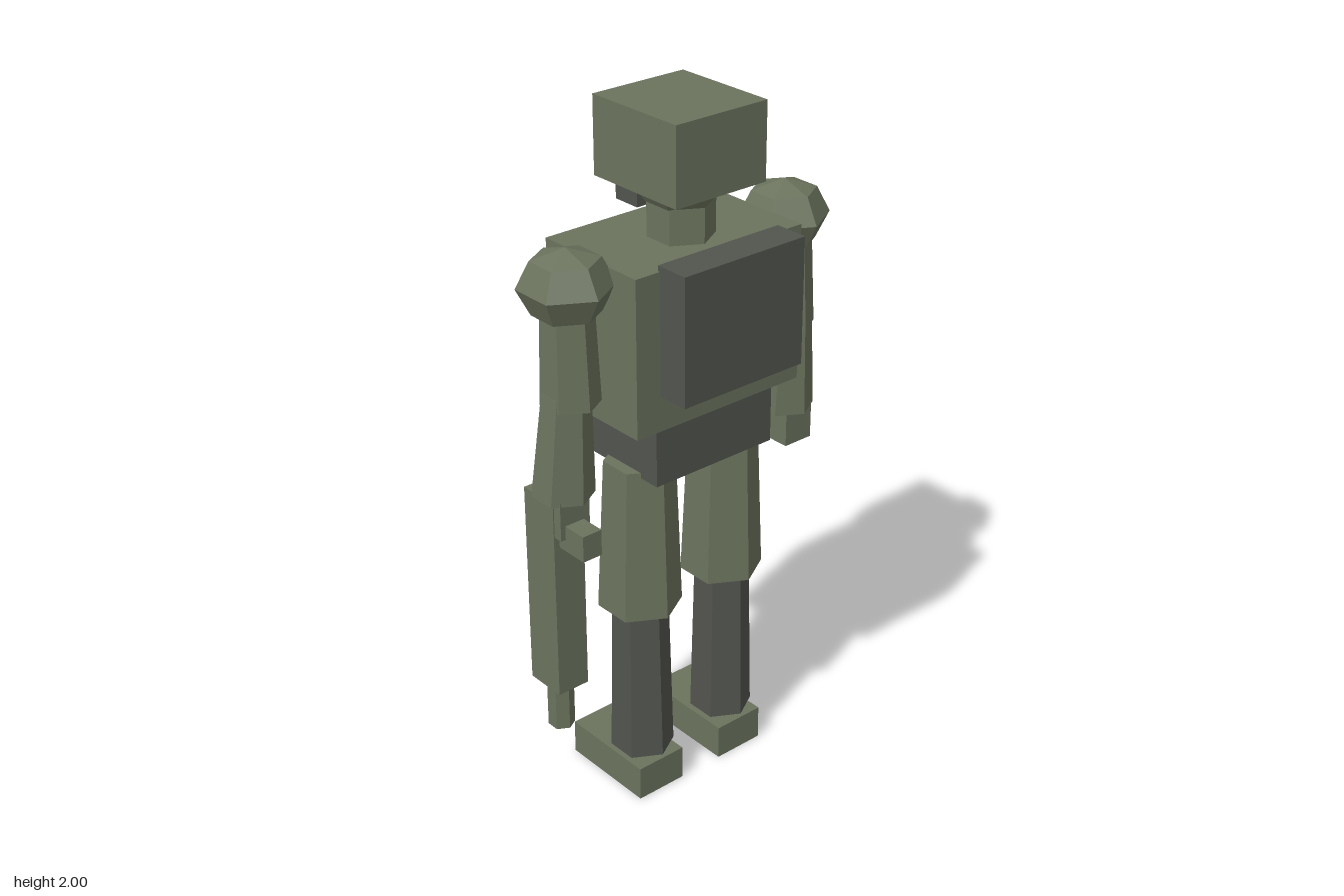
import * as THREE from 'three';

export function createModel() {
  const model = new THREE.Group();
  model.name = 'robot';

  const makeMaterial = (name, color) => {
    const m = new THREE.MeshStandardMaterial({ color, flatShading: true });
    m.name = name;
    return m;
  };
  const olive = makeMaterial('olive', 0x6b735d);
  const dark = makeMaterial('darkGrey', 0x52544e);
  const amber = makeMaterial('amber', 0xd08a40);
  const glow = makeMaterial('glowGreen', 0x69cd8c);

  const add = (name, geometry, material) => {
    const mesh = new THREE.Mesh(geometry, material);
    mesh.name = name;
    model.add(mesh);
    return mesh;
  };
  // box given by its limits on each axis
  const box = (name, material, [x0, x1], [y0, y1], [z0, z1]) => {
    const mesh = add(name, new THREE.BoxGeometry(Math.abs(x1 - x0), y1 - y0, z1 - z0), material);
    mesh.position.set((x0 + x1) / 2, (y0 + y1) / 2, (z0 + z1) / 2);
    return mesh;
  };
  // six-sided tapered limb, sheared so that both ends stay level
  const limb = (name, material, top, bottom, rTop, rBottom) => {
    const height = top[1] - bottom[1];
    const geo = new THREE.CylinderGeometry(rTop, rBottom, height, 6);
    const p = geo.attributes.position;
    for (let i = 0; i < p.count; i++) {
      const t = p.getY(i) / height + 0.5;
      p.setXYZ(i,
        p.getX(i) + bottom[0] + (top[0] - bottom[0]) * t,
        bottom[1] + height * t,
        p.getZ(i) + bottom[2] + (top[2] - bottom[2]) * t);
    }
    geo.computeVertexNormals();
    return add(name, geo, material);
  };

  // torso (the face and chest point to -z)
  box('torso', olive, [-0.277, 0.277], [1.2, 1.64], [-0.21, 0.147]);
  box('chestPlate', dark, [-0.18, 0.18], [1.24, 1.56], [-0.24, -0.2]);
  box('backpack', dark, [-0.2, 0.2], [1.3, 1.655], [0.14, 0.24]);
  box('pelvis', dark, [-0.2, 0.2], [1.03, 1.2], [-0.145, 0.13]);

  // head
  limb('neck', olive, [0, 1.75, -0.005], [0, 1.62, -0.005], 0.09, 0.09);
  limb('neckCollar', olive, [0, 1.79, -0.008], [0, 1.735, -0.008], 0.13, 0.092);
  box('head', olive, [-0.148, 0.148], [1.787, 2], [-0.17, 0.147]);
  box('jaw', dark, [-0.075, 0.075], [1.705, 1.79], [-0.175, -0.09]);
  box('visor', amber, [-0.12, 0.12], [1.835, 1.88], [-0.185, -0.165]);
  const nose = add('noseRidge', new THREE.OctahedronGeometry(1), olive);
  nose.scale.set(0.03, 0.06, 0.02);
  nose.position.set(0, 1.857, -0.168);

  // arms and legs
  for (const s of [1, -1]) {
    const shoulder = add('shoulder', new THREE.SphereGeometry(0.127, 6, 4).rotateY(Math.PI / 6), olive);
    shoulder.scale.y = 0.8;
    shoulder.position.set(s * 0.366, 1.598, -0.013);
    limb('upperArm', olive, [s * 0.372, 1.58, -0.005], [s * 0.372, 1.285, 0], 0.068, 0.079);
    limb('forearm', olive, [s * 0.385, 1.32, 0], [s * 0.391, 1.02, -0.018], 0.064, 0.084);
    box('hand', olive, [s * 0.35, s * 0.445], [0.92, 1.03], [-0.08, 0.037]);

    limb('thigh', olive, [s * 0.148, 1.045, -0.003], [s * 0.149, 0.595, -0.006], 0.098, 0.117);
    limb('shin', dark, [s * 0.15, 0.6, -0.004], [s * 0.149, 0.122, -0.003], 0.079, 0.09);
    box('foot', olive, [s * 0.07, s * 0.227], [0, 0.103], [-0.22, 0.08]);
  }

  // hand-held blaster pointing down
  box('blasterBody', olive, [-0.448, -0.35], [0.425, 1.02], [-0.112, 0.01]);
  box('blasterGrip', olive, [-0.43, -0.37], [0.885, 0.96], [0, 0.11]);
  limb('blasterBarrel', olive, [-0.399, 0.45, -0.05], [-0.399, 0.28, -0.05], 0.037, 0.037);
  box('energyCell', glow, [-0.415, -0.38], [0.51, 0.81], [-0.128, -0.108]);

  return model;
}
